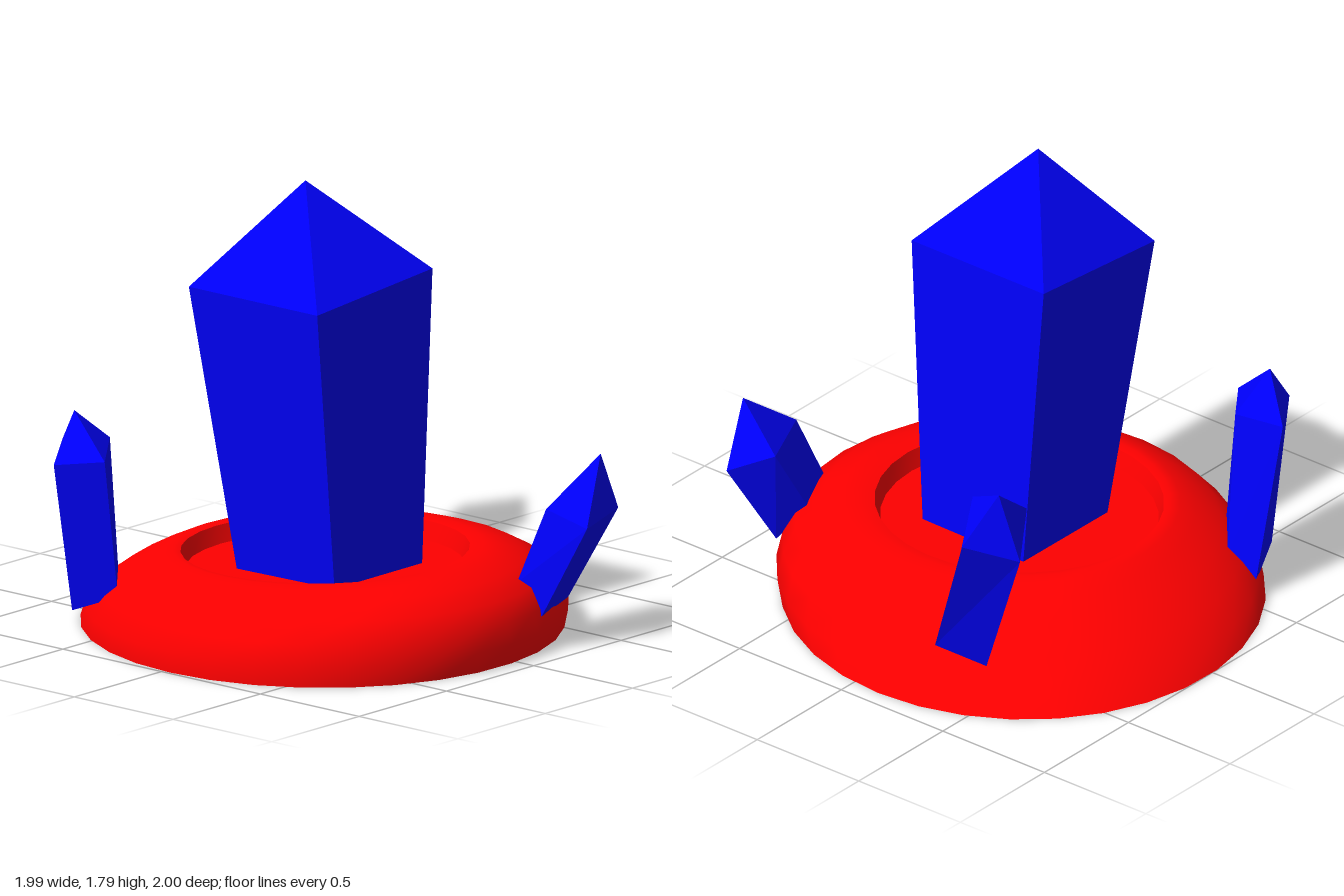
import * as THREE from 'three';

const RED = new THREE.MeshStandardMaterial({ color: 0xff0000 });
const BLUE = new THREE.MeshStandardMaterial({ color: 0x0000ff, flatShading: true });

// Smooth skin through a stack of slightly tilted rings: [y, centre x, centre z, radius, skew]
function skin(name, rings, sides = 32) {
  const pos = [], index = [];
  for (const [h, cx, cz, r, skew = 0] of rings) {
    for (let i = 0; i < sides; i++) {
      const a = (i / sides) * Math.PI * 2;
      const x = cx + r * Math.cos(a), z = cz - r * Math.sin(a + skew);
      pos.push(x, h * (1 + 0.06 * z + 0.015 * x), z);
    }
  }
  for (let k = 0; k < rings.length - 1; k++) {
    for (let i = 0; i < sides; i++) {
      const j = (i + 1) % sides, a = k * sides, b = a + sides;
      index.push(a + i, a + j, b + j, a + i, b + j, b + i);
    }
  }
  const g = new THREE.BufferGeometry();
  g.setAttribute('position', new THREE.Float32BufferAttribute(pos, 3));
  g.setIndex(index);
  g.computeVertexNormals();
  const mesh = new THREE.Mesh(g, RED);
  mesh.name = name;
  return mesh;
}

// Four-sided crystal; corners run counter-clockwise seen from above
function crystal(name, base, top, apex) {
  const pos = [];
  const tri = (...points) => points.forEach((p) => pos.push(...p));
  for (let i = 0; i < 4; i++) {
    const j = (i + 1) % 4;
    tri(base[i], base[j], top[j]);
    tri(base[i], top[j], top[i]);
    tri(top[i], top[j], apex);
  }
  tri(base[0], base[2], base[1]);
  tri(base[0], base[3], base[2]);
  const g = new THREE.BufferGeometry();
  g.setAttribute('position', new THREE.Float32BufferAttribute(pos, 3));
  g.computeVertexNormals();
  const mesh = new THREE.Mesh(g, BLUE);
  mesh.name = name;
  return mesh;
}

export function createModel() {
  const model = new THREE.Group();
  model.name = 'crystalCluster';

  // Rounded, leaning mound with a sunken flat dish on top
  const mound = new THREE.Group();
  mound.name = 'mound';
  mound.add(
    skin('moundSide', [
      [0, -0.03, -0.043, 0.96, 0.08],
      [0.08, -0.052, 0.0, 0.938, 0.04],
      [0.16, -0.07, 0.04, 0.885, 0.02],
      [0.235, -0.088, 0.08, 0.81],
      [0.29, -0.1, 0.09, 0.715],
      [0.318, -0.11, 0.08, 0.64],
      [0.325, -0.115, 0.065, 0.59],
      [0.32, -0.12, 0.05, 0.55],
    ]),
    skin('dishWall', [[0.32, -0.12, 0.05, 0.55], [0.25, -0.12, 0.05, 0.53]]),
    skin('dishFloor', [[0.25, -0.12, 0.05, 0.53], [0.25, -0.12, 0.05, 0]]),
    skin('moundUnderside', [[0, -0.03, -0.043, 0], [0, -0.03, -0.043, 0.96, 0.08]]),
  );
  model.add(mound);

  model.add(
    crystal('mainCrystal',
      [[0.137, 0.22, 0.312], [0.137, 0.22, -0.18], [-0.36, 0.22, -0.18], [-0.36, 0.22, 0.312]],
      [[0.11, 1.43, 0.39], [0.11, 1.43, -0.26], [-0.55, 1.375, -0.26], [-0.55, 1.375, 0.39]],
      [-0.25, 1.79, 0.065]),
    crystal('leftCrystal',
      [[0.78, 0.2, -0.28], [0.74, 0.17, -0.5], [0.51, 0.28, -0.36], [0.57, 0.31, -0.19]],
      [[0.995, 0.83, -0.59], [0.915, 0.81, -0.81], [0.73, 0.92, -0.69], [0.81, 0.935, -0.49]],
      [0.945, 1.085, -0.73]),
    crystal('frontCrystal',
      [[0.45, 0.14, 0.775], [0.35, 0.26, 0.7], [0.13, 0.265, 0.8], [0.17, 0.14, 0.89]],
      [[0.625, 0.475, 0.875], [0.51, 0.54, 0.73], [0.24, 0.54, 0.85], [0.305, 0.475, 1.0]],
      [0.485, 0.72, 0.91]),
    crystal('backCrystal',
      [[-0.51, 0.16, -0.65], [-0.54, 0.07, -0.765], [-0.8, 0.09, -0.63], [-0.71, 0.15, -0.478]],
      [[-0.595, 0.73, -0.62], [-0.66, 0.71, -0.8], [-0.905, 0.68, -0.63], [-0.8, 0.7, -0.465]],
      [-0.765, 0.865, -0.65]),
  );
  return model;
}
